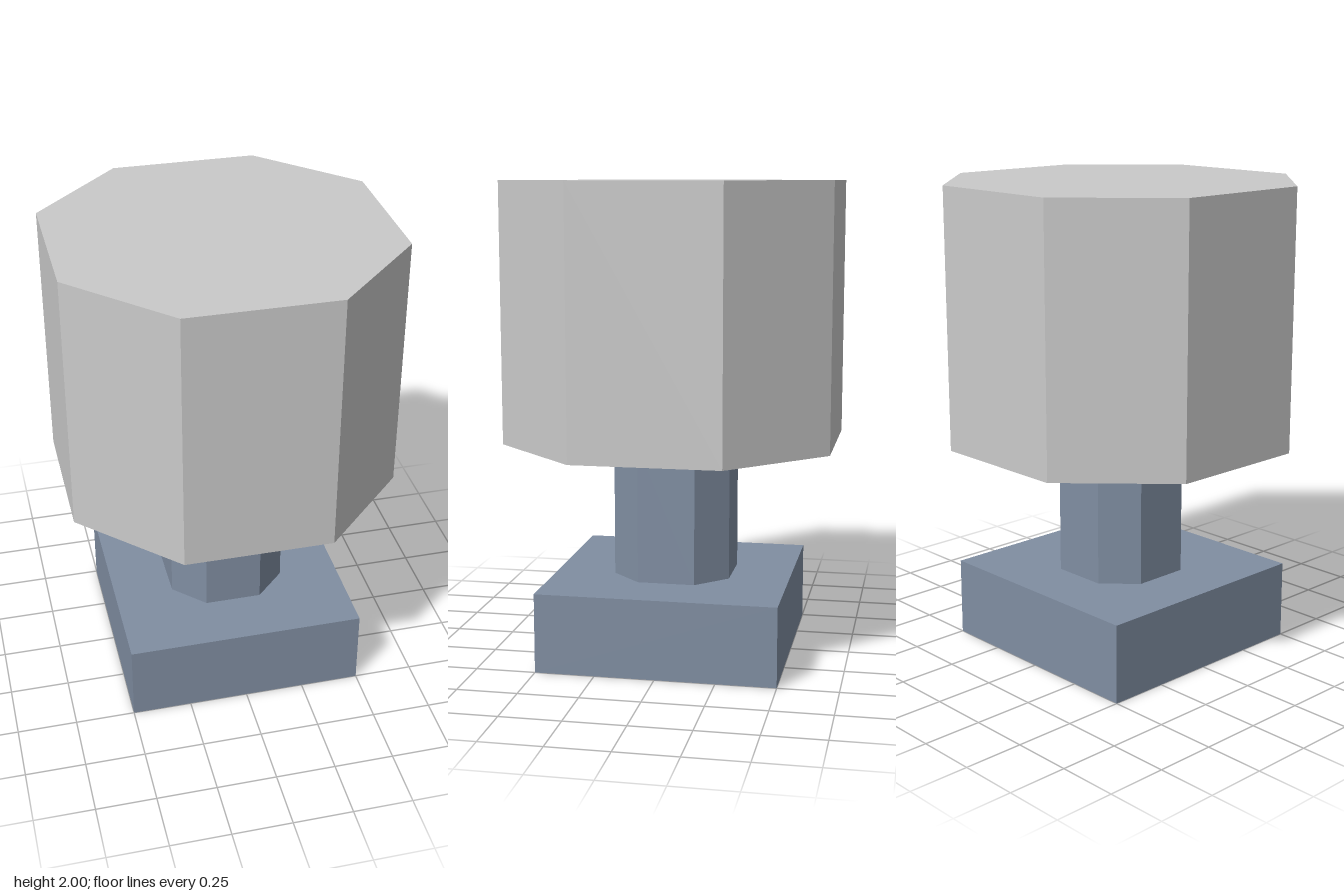
import * as THREE from 'three';

// Upright prism with a chamfered square section: half = half width, flat = half length of the straight sides
function octagonPrism(half, flat, y0, y1) {
  const corners = [
    [half, -flat], [half, flat], [flat, half], [-flat, half],
    [-half, flat], [-half, -flat], [-flat, -half], [flat, -half],
  ];
  const shape = new THREE.Shape(corners.map(([x, y]) => new THREE.Vector2(x, y)));
  const geometry = new THREE.ExtrudeGeometry(shape, { depth: y1 - y0, bevelEnabled: false });
  return geometry.rotateX(-Math.PI / 2).translate(0, y0, 0);
}

export function createModel() {
  const group = new THREE.Group();
  group.name = 'mallet';

  const lightGrey = new THREE.MeshStandardMaterial({ color: 0xcacaca, flatShading: true });
  lightGrey.name = 'light grey';
  const slateBlue = new THREE.MeshStandardMaterial({ color: 0x808ea2, flatShading: true });
  slateBlue.name = 'slate blue';

  const add = (name, geometry, material) => {
    const mesh = new THREE.Mesh(geometry, material);
    mesh.name = name;
    group.add(mesh);
  };

  // Square foot
  add('base', new THREE.BoxGeometry(1, 0.333, 1).translate(0, 0.1665, 0), slateBlue);
  // Slim eight-sided column
  add('neck', octagonPrism(0.247, 0.12, 0.333, 0.913), slateBlue);
  // Large eight-sided block on top
  add('head', octagonPrism(0.68, 0.304, 0.913, 2), lightGrey);

  return group;
}
